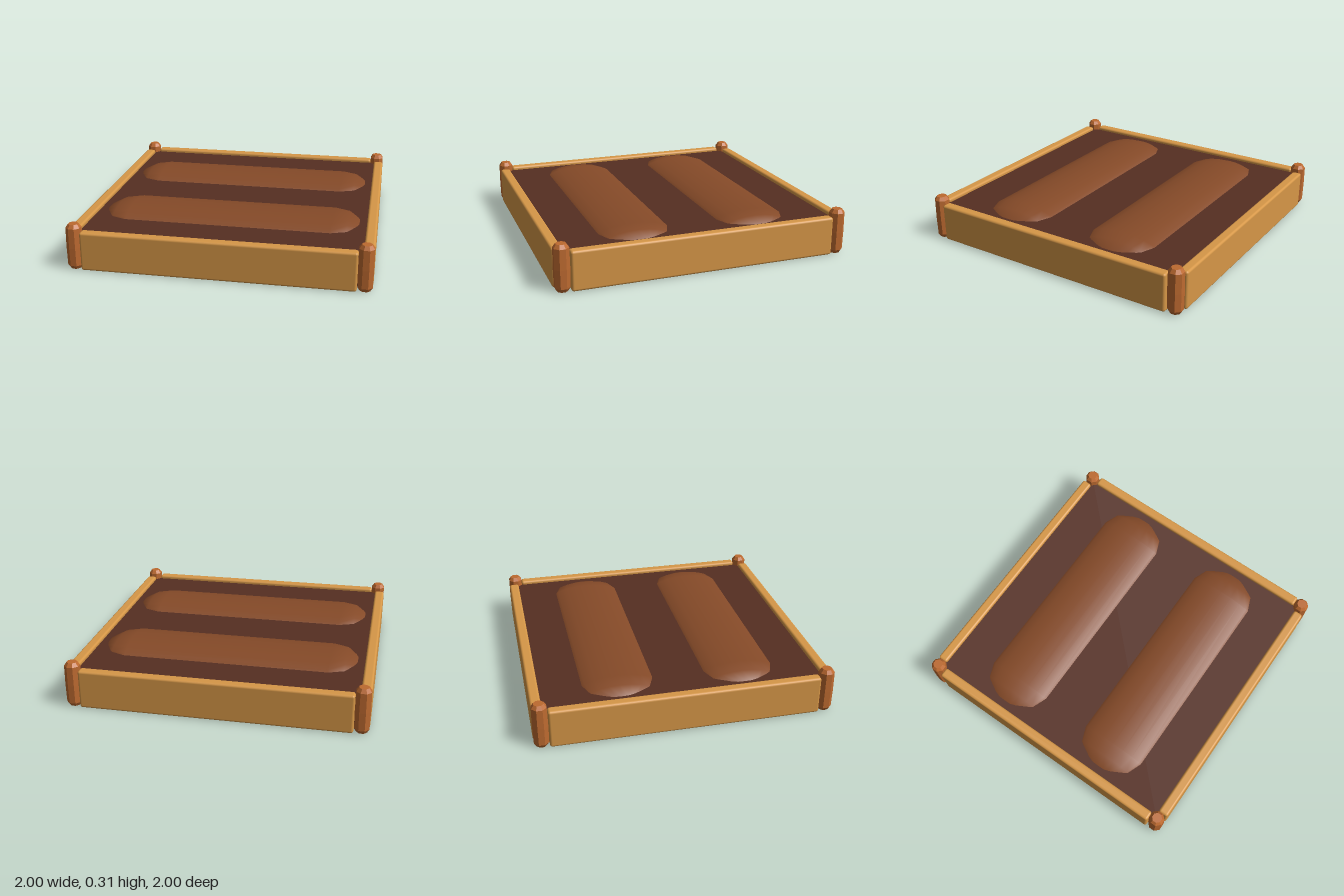
import * as THREE from 'three';
import { RoundedBoxGeometry } from 'three/addons/geometries/RoundedBoxGeometry.js';

const paint = (color, flatShading = false) => new THREE.MeshStandardMaterial({ color, flatShading });

export function createModel() {
  const bed = new THREE.Group();
  bed.name = 'raisedGardenBed';
  const plank = paint(0xd69747);
  const timber = paint(0xbd6a30, true);
  const earth = paint(0x562f22);
  const ridge = paint(0x854a28);

  const add = (name, geometry, material, x, y, z) => {
    const mesh = new THREE.Mesh(geometry, material);
    mesh.name = name;
    mesh.position.set(x, y, z);
    bed.add(mesh);
    return mesh;
  };

  // Four side boards with softened edges
  const board = new RoundedBoxGeometry(1.8, 0.265, 0.07, 2, 0.016);
  ['frontBoard', 'leftBoard', 'backBoard', 'rightBoard'].forEach((name, i) => {
    const a = i * Math.PI / 2;
    add(name, board, plank, Math.sin(a) * 0.965, 0.1325, Math.cos(a) * 0.965).rotation.y = a;
  });

  // Eight-sided corner posts, chamfered at top and bottom
  const profile = [[0, 0], [0.036, 0], [0.052, 0.025], [0.054, 0.15], [0.052, 0.285], [0.034, 0.31], [0, 0.31]]
    .map(([r, y]) => new THREE.Vector2(r, y));
  const post = new THREE.LatheGeometry(profile, 8, Math.PI / 8);
  for (const sx of [-1, 1]) {
    for (const sz of [-1, 1]) {
      add(`${sz > 0 ? 'front' : 'back'}${sx > 0 ? 'Left' : 'Right'}Post`, post, timber, sx * 0.95, 0, sz * 0.95);
    }
  }

  // Soil filling the frame
  add('soil', new THREE.BoxGeometry(1.87, 0.23, 1.87), earth, 0, 0.125, 0);

  // Two planting mounds: flattened capsules sunk into the soil
  const mound = new THREE.CapsuleGeometry(1, 6.83, 3, 20);
  mound.rotateZ(Math.PI / 2);
  mound.scale(0.205, 0.087, 0.27);
  for (const s of [-1, 1]) {
    add(s > 0 ? 'frontMound' : 'backMound', mound, ridge, 0, 0.2, s * 0.412);
  }

  return bed;
}
